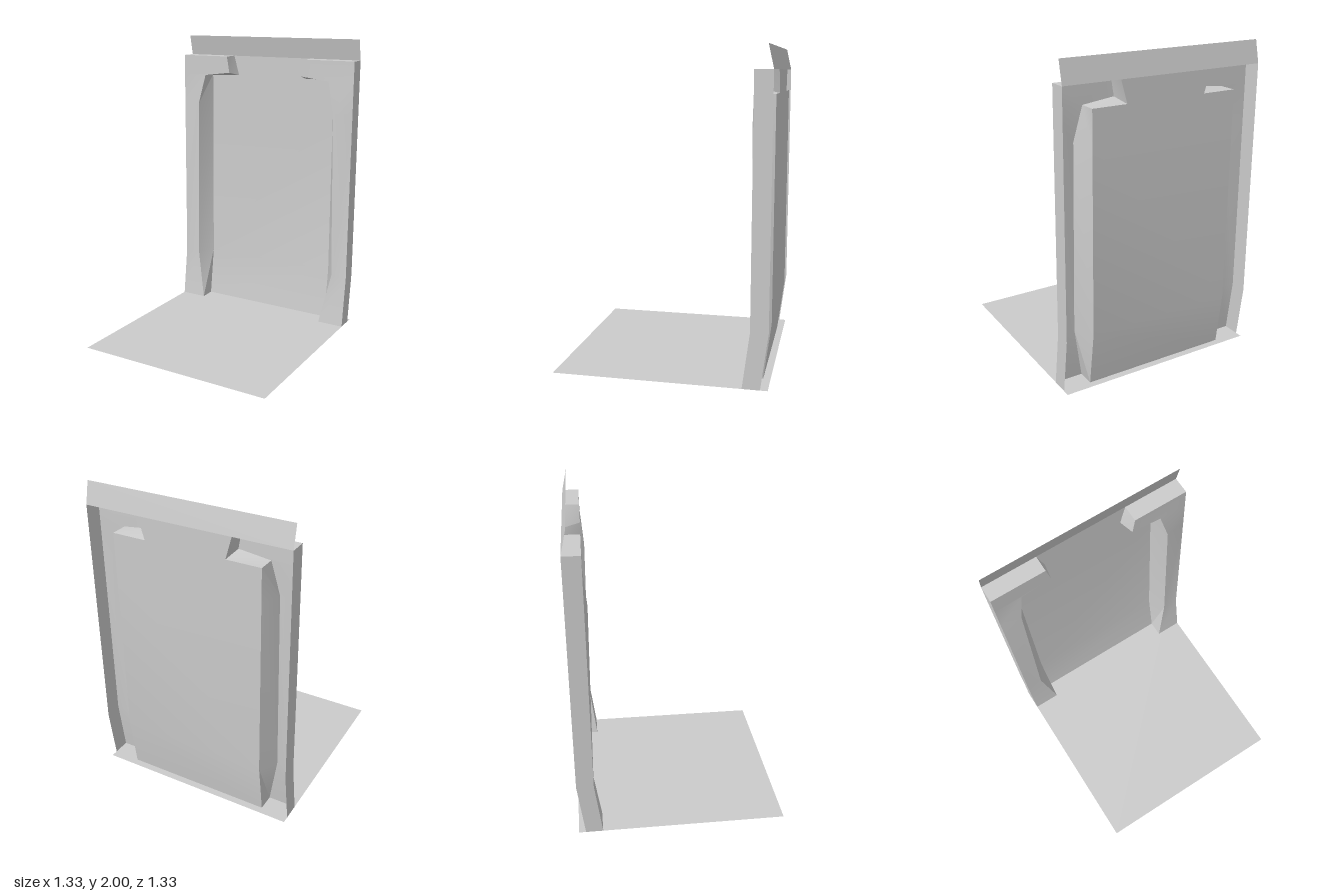
import * as THREE from 'three';
import { toCreasedNormals } from 'three/addons/utils/BufferGeometryUtils.js';

const material = new THREE.MeshStandardMaterial({ color: 0xcccccc, side: THREE.DoubleSide });
const W = 0.667, TOP = 1.86;

// Depth of the back sheet and frame face: upright, kicking forward near the floor
const kick = (y) => 0.045 * Math.max(0, 1 - y / 0.35);
const back = (x, y) => [x, y, -0.667 + kick(y)];
const face = (x, y, bulge = 0) => [x, y, -0.558 + kick(y) + bulge];

// Thin sheet from convex polygons; side = -1 mirrors it across x = 0
function sheet(name, polygons, side = 1) {
  const pos = [];
  for (const poly of polygons) {
    const p = side < 0 ? [...poly].reverse() : poly;
    for (let i = 1; i < p.length - 1; i++) {
      for (const [x, y, z] of [p[0], p[i], p[i + 1]]) pos.push(side * x, y, z);
    }
  }
  const geo = new THREE.BufferGeometry();
  geo.setAttribute('position', new THREE.Float32BufferAttribute(pos, 3));
  const mesh = new THREE.Mesh(toCreasedNormals(geo, 0.4), material);
  mesh.name = name;
  return mesh;
}

// Quads between two chains of points
const strip = (a, b) => a.slice(1).map((_, i) => [a[i], b[i], b[i + 1], a[i + 1]]);

export function createModel() {
  const model = new THREE.Group();
  model.name = 'panelStand';

  // Floor sheet
  const floor = new THREE.Mesh(new THREE.PlaneGeometry(2 * W, 2 * W), material);
  floor.rotation.x = -Math.PI / 2;
  floor.name = 'floor';
  model.add(floor);

  // Header leaning slightly forward above the frame
  model.add(sheet('header', [[
    [-W, TOP, -0.667], [W, TOP, -0.667], [W, 2, -0.635], [-W, 2, -0.635],
  ]]));

  // Recessed back panel with a narrower neck at the top
  const panelRight = [[0.487, 0], [0.487, 0.35], [0.487, 1.51], [0.487, 1.72]];
  const neck = [[0.265, 1.72], [0.305, TOP]];
  const panelQuads = (edge) => strip(edge.map(([x, y]) => back(-x, y)), edge.map(([x, y]) => back(x, y)));
  model.add(sheet('backPanel', [...panelQuads(panelRight), ...panelQuads(neck)]));

  // Hollow frame posts, each with a hook at the top
  const innerFront = [
    face(0.487, 0), face(0.557, 0.35), face(0.535, 1.51, 0.02), face(0.487, 1.72),
    face(0.285, 1.745), face(0.305, TOP),
  ];
  const innerBack = [...panelRight, ...neck].map(([x, y]) => back(x, y));
  const heights = [0, 0.35, 1.51, 1.72];
  const outerFront = heights.map((y) => face(W, y));

  for (const side of [1, -1]) {
    const post = new THREE.Group();
    post.name = side > 0 ? 'leftPost' : 'rightPost';
    post.add(
      sheet('postFace', [
        ...strip(innerFront.slice(0, 4), outerFront),
        [innerFront[3], face(W, 1.72), face(W, TOP), innerFront[5], innerFront[4]],
      ], side),
      sheet('innerWall', strip(innerBack, innerFront), side),
      sheet('outerWall', strip(
        [0, 0.35, TOP].map((y) => face(W, y)),
        [0, 0.35, TOP].map((y) => back(W, y)),
      ), side),
      sheet('postTop', [[face(0.305, TOP), face(W, TOP), back(W, TOP), back(0.305, TOP)]], side),
    );
    model.add(post);
  }
  return model;
}
